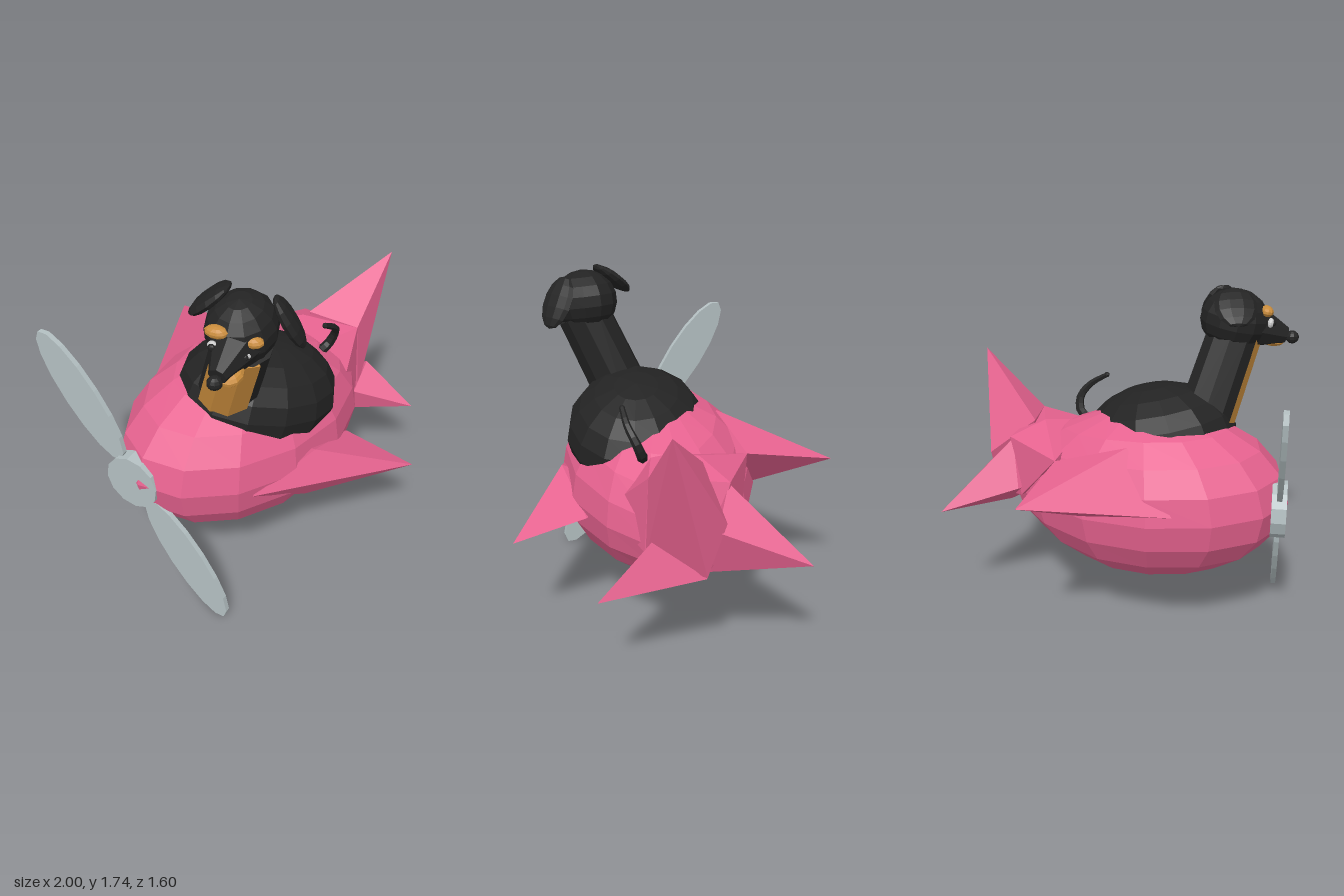
import * as THREE from 'three';
import { ConvexGeometry } from 'three/addons/geometries/ConvexGeometry.js';

const V = (p) => new THREE.Vector3(...p);
const mat = (color) => new THREE.MeshStandardMaterial({ color, flatShading: true });
const pink = mat(0xe6628f), black = mat(0x232323), tan = mat(0xc98c3c);
const metal = mat(0xb4c0c2), white = mat(0xcccccc);

export function createModel() {
  const model = new THREE.Group();

  const add = (name, geometry, material, pos = [0, 0, 0], parent = model) => {
    const mesh = new THREE.Mesh(geometry, material);
    mesh.name = name;
    mesh.position.set(...pos);
    parent.add(mesh);
    return mesh;
  };
  // Faceted ellipsoid; its local z can be aimed along a direction
  const blob = (name, material, pos, size, aim, ws = 10, hs = 7) => {
    const mesh = add(name, new THREE.SphereGeometry(1, ws, hs), material, pos);
    mesh.scale.set(...size);
    if (aim) mesh.lookAt(V(pos).add(V(aim)));
    return mesh;
  };
  // Round bar between two points
  const bar = (name, material, a, b, ra, rb, sides, start = 0, arc = Math.PI * 2) => {
    const d = V(b).sub(V(a));
    const mesh = add(name, new THREE.CylinderGeometry(rb, ra, d.length(), sides, 1, false, start, arc),
      material, V(a).add(V(b)).multiplyScalar(0.5).toArray());
    mesh.quaternion.setFromUnitVectors(V([0, 1, 0]), d.normalize());
    return mesh;
  };

  // Fuselage: plump ellipsoid, nose towards -x +z, narrowing at the tail
  const hull = blob('fuselage', pink, [0, 0.685, 0.1], [0.77, 0.455, 0.5], null, 14, 10);
  hull.rotation.set(0, 0.46, -0.04);
  const hp = hull.geometry.attributes.position;
  for (let i = 0; i < hp.count; i++) {
    const k = 1 - 0.22 * Math.max(0, hp.getX(i)) ** 1.5;
    hp.setXYZ(i, hp.getX(i), hp.getY(i) * k, hp.getZ(i) * k);
  }

  // Wings and tail fins: pointed pyramids growing out of the fuselage (tip first)
  const spikes = {
    leftWing: [[0.7, 0.58, 0.64], [0.18, 0.78, 0.57], [-0.18, 0.66, 0.655], [0.15, 0.47, 0.54], [0.47, 0.64, 0.34], [0.1, 0.65, 0.3]],
    rightWing: [[-0.05, 0.86, -0.8], [-0.46, 0.75, -0.17], [-0.15, 1.03, -0.18], [0.15, 0.93, -0.4], [-0.05, 0.68, -0.37], [0, 0.8, -0.1]],
    topTailFin: [[0.96, 1.32, -0.22], [0.72, 0.6, -0.03], [0.74, 0.55, -0.33], [0.7, 0.82, -0.41], [0.5, 1.02, -0.25], [0.69, 1.0, -0.04]],
    leftTailFin: [[0.99, 0.5, 0.12], [0.79, 0.73, -0.08], [0.68, 0.6, 0], [0.62, 0.46, -0.06], [0.73, 0.54, -0.33]],
    rightTailFin: [[0.62, 0.61, -0.8], [0.42, 0.7, -0.44], [0.53, 0.94, -0.38], [0.72, 0.78, -0.37], [0.65, 0.53, -0.32], [0.4, 0.7, -0.2]],
    tailRoot: [[0.69, 1.0, -0.04], [0.45, 1.03, -0.22], [0.54, 0.95, -0.39], [0.38, 0.99, 0.03], [0.7, 0.62, -0.02], [0.72, 0.55, -0.32],
      [0.42, 0.66, -0.42], [0.15, 0.93, -0.4], [0.45, 0.7, 0.25]],
  };
  for (const [name, pts] of Object.entries(spikes)) add(name, new ConvexGeometry(pts.map(V)), pink);

  // Propeller: local x along the blades, local z along the shaft
  const propeller = new THREE.Group();
  propeller.name = 'propeller';
  const shaft = V([-0.785, 0, 0.62]).normalize();
  const blade = V([0.365, -0.81, 0.46]).normalize();
  propeller.quaternion.setFromRotationMatrix(
    new THREE.Matrix4().makeBasis(blade, shaft.clone().cross(blade), shaft));
  propeller.position.set(-0.68, 0.7, 0.38);
  model.add(propeller);
  const outline = new THREE.Shape();
  outline.absellipse(0, 0, 0.365, 0.108, 0, Math.PI * 2);
  const bladeGeo = new THREE.ExtrudeGeometry(outline, { depth: 0.026, bevelEnabled: false, curveSegments: 8 });
  for (const s of [-1, 1]) add('blade', bladeGeo, metal, [s * 0.485, 0, -0.013], propeller);
  const hub = add('hub', new THREE.CylinderGeometry(0.145, 0.145, 0.075, 12), metal, [0, 0, 0], propeller);
  hub.rotation.x = Math.PI / 2;

  // Dog body and neck, with a tan bib on the front of the neck
  const body = blob('dogBody', black, [0.015, 0.95, 0.205], [0.43, 0.285, 0.365], null, 14, 10);
  body.rotation.set(0, 0.25, -0.24);
  const neckA = [-0.19, 1.03, 0.32], neckB = [-0.19, 1.5, 0.55];
  bar('neck', black, neckA, neckB, 0.15, 0.14, 10);
  bar('bib', tan, neckA, neckB, 0.157, 0.147, 3, -1.5, 1.7);

  // Head and muzzle
  const face = [-0.68, -0.2, 0.73];
  blob('head', black, [-0.195, 1.565, 0.54], [0.165, 0.16, 0.18], face, 12, 9);
  bar('muzzle', black, [-0.23, 1.54, 0.59], [-0.38, 1.48, 0.74], 0.135, 0.042, 8);
  blob('nose', black, [-0.4, 1.47, 0.765], [0.036, 0.034, 0.034]);
  blob('chin', tan, [-0.305, 1.45, 0.71], [0.055, 0.034, 0.07], face);

  // Eyes and brows
  for (const [eye, brow] of [
    [[-0.24, 1.525, 0.7], [-0.205, 1.58, 0.685]],
    [[-0.36, 1.56, 0.63], [-0.34, 1.62, 0.62]],
  ]) {
    blob('eye', white, eye, [0.026, 0.026, 0.018], face);
    blob('pupil', black, V(eye).add(V([-0.008, 0, 0.011])).toArray(), [0.019, 0.019, 0.016], face);
    blob('brow', tan, brow, [0.056, 0.028, 0.035], face);
  }

  // Floppy ears: flat discs facing outwards
  blob('leftEar', black, [-0.005, 1.595, 0.62], [0.093, 0.14, 0.035], [0.8, 0.5, 0.35]);
  blob('rightEar', black, [-0.3, 1.665, 0.425], [0.11, 0.12, 0.033], [-0.5, 0.75, -0.4]);

  // Curled dog tail, thinning towards the tip
  const curl = new THREE.CatmullRomCurve3([[0.3, 0.97, 0.12], [0.38, 0.97, 0.08], [0.47, 1.0, 0.05],
    [0.5, 1.08, 0.07], [0.47, 1.15, 0.12], [0.39, 1.21, 0.17]].map(V));
  const tail = new THREE.TubeGeometry(curl, 14, 0.034, 6);
  const { position, uv } = tail.attributes;
  for (let i = 0; i < position.count; i++) {
    const u = uv.getX(i);
    const p = new THREE.Vector3().fromBufferAttribute(position, i).lerp(curl.getPointAt(u), u * 0.6);
    position.setXYZ(i, p.x, p.y, p.z);
  }
  add('dogTail', tail, black);
  blob('dogTailTip', black, [0.39, 1.21, 0.17], [0.015, 0.015, 0.015], null, 6, 4);

  return model;
}
